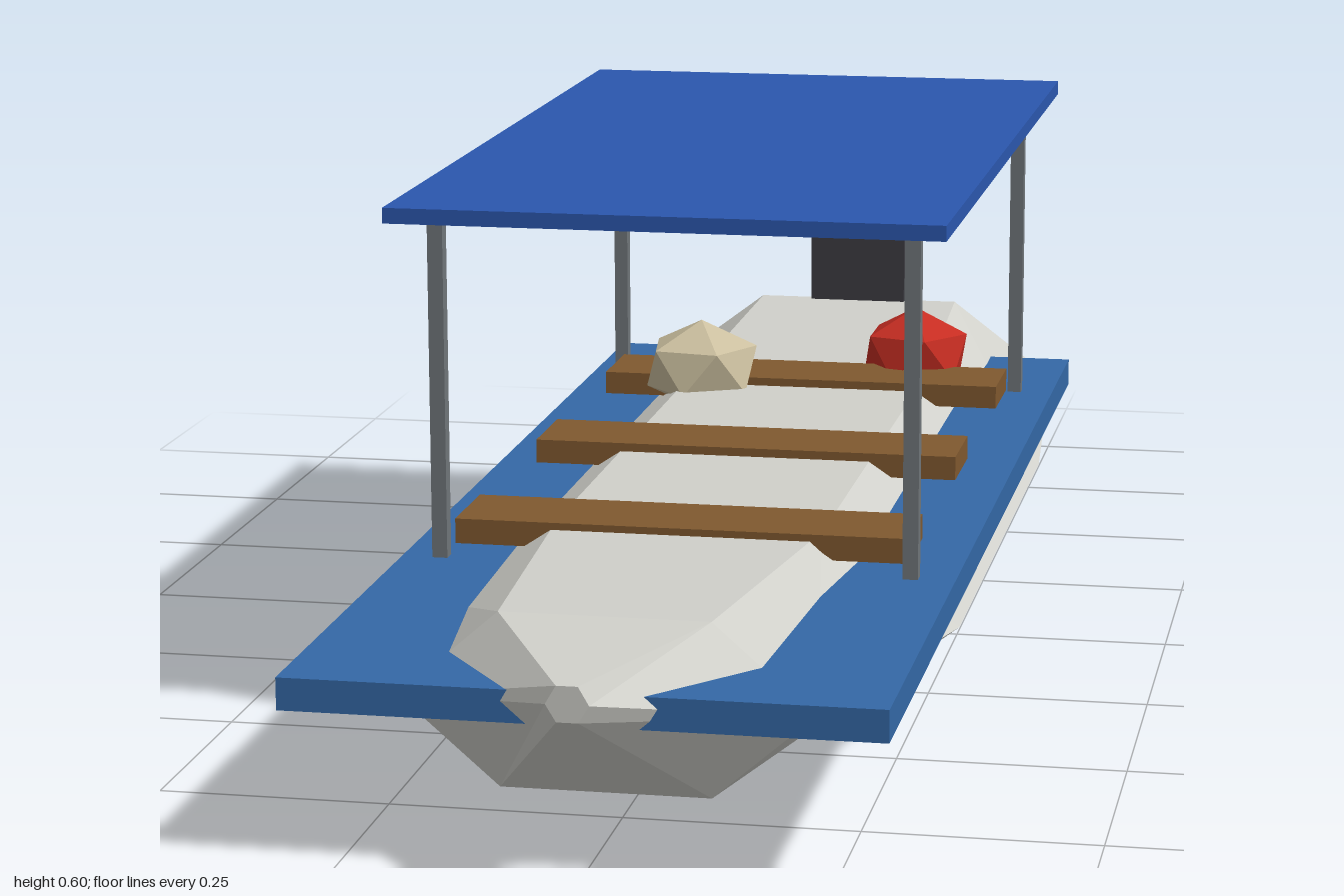
import * as THREE from 'three';

const mat = (name, color) => new THREE.MeshStandardMaterial({ name, color, flatShading: true });

// Lofts a hexagonal hull through stations ordered bow to stern
function hullGeometry(stations) {
  const rings = stations.map(([z, yLow, yMid, yTop, wLow, wMid, wTop]) => [
    [wLow, yLow, z], [wMid, yMid, z], [wTop, yTop, z],
    [-wTop, yTop, z], [-wMid, yMid, z], [-wLow, yLow, z],
  ]);
  const pos = [];
  const tri = (a, b, c) => pos.push(...a, ...b, ...c);
  for (let i = 0; i < rings.length - 1; i++) {
    for (let j = 0; j < 6; j++) {
      const k = (j + 1) % 6;
      const a = rings[i][j], b = rings[i][k], c = rings[i + 1][k], d = rings[i + 1][j];
      tri(a, d, c);
      tri(a, c, b);
    }
  }
  const bow = rings[0], stern = rings[rings.length - 1];
  for (let j = 1; j < 5; j++) {
    tri(bow[0], bow[j], bow[j + 1]);
    tri(stern[0], stern[j + 1], stern[j]);
  }
  const g = new THREE.BufferGeometry();
  g.setAttribute('position', new THREE.Float32BufferAttribute(pos, 3));
  g.computeVertexNormals();
  return g;
}

export function createModel() {
  const boat = new THREE.Group();
  boat.name = 'boat';

  const hullGrey = mat('hull grey', 0xd0d0ca);
  const deckBlue = mat('deck blue', 0x3468a6);
  const canopyBlue = mat('canopy blue', 0x2b57ae);
  const wood = mat('bench wood', 0x80592f);
  const metal = mat('metal grey', 0x70767a);
  const motorGrey = mat('motor grey', 0x3d3c42);
  const capNavy = mat('cap navy', 0x0c0c24);
  const red = mat('bundle red', 0xc62d22);
  const beige = mat('bundle beige', 0xcbbf9f);

  const add = (name, geometry, material) => {
    const mesh = new THREE.Mesh(geometry, material);
    mesh.name = name;
    boat.add(mesh);
    return mesh;
  };
  // Box given by its limits on each axis
  const box = (name, material, [x0, x1], [y0, y1], [z0, z1]) => {
    const mesh = add(name, new THREE.BoxGeometry(x1 - x0, y1 - y0, z1 - z0), material);
    mesh.position.set((x0 + x1) / 2, (y0 + y1) / 2, (z0 + z1) / 2);
    return mesh;
  };

  // Hull: z, three heights, three half widths per station
  add('hull', hullGeometry([
    [1.0, 0.178, 0.196, 0.215, 0.011, 0.022, 0.011],
    [0.83, 0.053, 0.145, 0.238, 0.11, 0.216, 0.11],
    [0.39, 0.015, 0.12, 0.222, 0.152, 0.303, 0.15],
    [-0.39, 0.015, 0.12, 0.222, 0.152, 0.303, 0.15],
    [-0.826, 0.035, 0.14, 0.242, 0.135, 0.27, 0.135],
  ]), hullGrey);

  // Side deck
  box('deck', deckBlue, [-0.308, 0.308], [0.159, 0.193], [-0.7, 0.95]);

  // Benches
  for (const z of [0.39, 0, -0.39]) {
    box('bench', wood, [-0.253, 0.253], [0.204, 0.232], [z - 0.056, z + 0.056]);
  }

  // Canopy and its posts
  box('canopy', canopyBlue, [-0.304, 0.304], [0.578, 0.595], [-0.542, 0.539]);
  for (const x of [-0.261, 0.261]) {
    for (const z of [-0.476, 0.476]) {
      box('canopyPost', metal, [x - 0.0085, x + 0.0085], [0.197, 0.58], [z - 0.0085, z + 0.0085]);
    }
  }

  // Outboard motor
  box('motorBody', motorGrey, [-0.065, 0.065], [0.21, 0.403], [-0.965, -0.815]);
  box('motorCap', capNavy, [-0.069, 0.069], [0.388, 0.422], [-1.0, -0.822]);
  box('motorLeg', metal, [-0.013, 0.013], [0, 0.215], [-0.948, -0.922]);

  // Faceted bundles, standing on one corner and slightly flattened
  const bundle = (name, material, x, z, r, turn) => {
    const g = new THREE.IcosahedronGeometry(r, 0);
    g.rotateZ(-Math.atan(2 / (1 + Math.sqrt(5))));
    g.rotateY(turn);
    g.scale(1, 0.06 / r, 1);
    add(name, g, material).position.set(x, 0.243, z);
  };
  bundle('redBundle', red, 0.13, -0.476, 0.075, 0);
  bundle('beigeBundle', beige, -0.129, -0.345, 0.079, 0.15);

  return boat;
}
